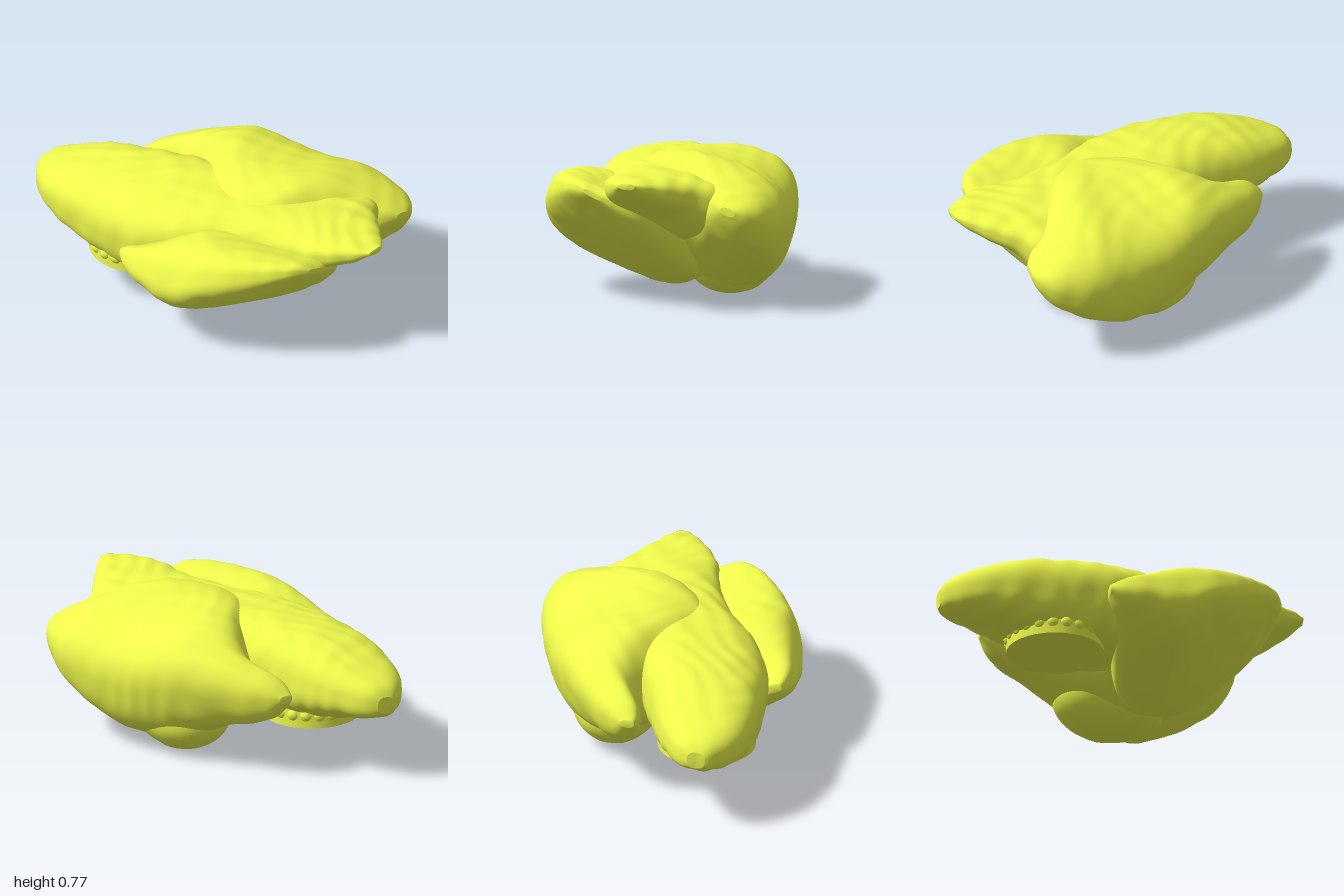
import * as THREE from 'three';

const material = new THREE.MeshStandardMaterial({ color: 0xf0fa4c, side: THREE.DoubleSide });

// Smooth lumpy relief, roughly -1..1
function relief(x, y, z) {
  const broad = Math.sin(9 * x + 3 * Math.sin(5 * z)) * Math.sin(8 * z + 2 * y + 1) * Math.cos(7 * y);
  const fine = Math.sin(33 * x + 2 * Math.sin(9 * z)) * Math.sin(31 * z + 2 * Math.sin(11 * x)) * Math.cos(9 * y);
  return 0.5 * broad + 0.4 * fine;
}

// Push vertices along their normals by the relief
function roughen(geometry, amount) {
  geometry.computeVertexNormals();
  const p = geometry.attributes.position, n = geometry.attributes.normal;
  for (let i = 0; i < p.count; i++) {
    const d = amount * relief(p.getX(i), p.getY(i), p.getZ(i));
    p.setXYZ(i, p.getX(i) + d * n.getX(i), p.getY(i) + d * n.getY(i), p.getZ(i) + d * n.getZ(i));
  }
  geometry.computeVertexNormals();
  return geometry;
}

function catmull(a, b, c, d, t) {
  return 0.5 * (2 * b + (c - a) * t + (2 * a - 5 * b + 4 * c - d) * t * t + (3 * b - a - 3 * c + d) * t * t * t);
}

// Lobe lofted along z. Station: [z, leftX, leftY, rightX, rightY, bulgeUp, bulgeDown]
function lobe(name, stations, power, bump) {
  const sides = 96, steps = 12, last = stations.length - 1;
  const positions = [], indices = [];
  const rows = [];
  for (let i = 0; i < last; i++) {
    const s = k => stations[Math.min(last, Math.max(0, k))];
    for (let j = 0; j < steps + (i === last - 1 ? 1 : 0); j++) {
      rows.push(s(i).map((_, k) => catmull(s(i - 1)[k], s(i)[k], s(i + 1)[k], s(i + 2)[k], j / steps)));
    }
  }
  // Collapsed rings close the two ends
  const close = ([z, lx, ly, rx, ry]) => [z, (lx + rx) / 2, (ly + ry) / 2, (lx + rx) / 2 + 1e-4, (ly + ry) / 2, 0, 0];
  rows.unshift(close(rows[0]));
  rows.push(close(rows[rows.length - 1]));

  const shape = v => Math.sign(v) * Math.pow(Math.abs(v), power);
  rows.forEach(([z, lx, ly, rx, ry, up, down], i) => {
    const dx = (rx - lx) / 2, dy = (ry - ly) / 2, len = Math.hypot(dx, dy);
    for (let j = 0; j < sides; j++) {
      const a = (j / sides) * Math.PI * 2;
      const c = shape(Math.cos(a)), s = shape(Math.sin(a));
      const h = s * Math.max(s > 0 ? up : down, 0) / len;
      positions.push((lx + rx) / 2 + c * dx - h * dy, (ly + ry) / 2 + c * dy + h * dx, z);
      if (i === 0) continue;
      const k = (j + 1) % sides, p = (i - 1) * sides, q = i * sides;
      indices.push(p + j, p + k, q + j, p + k, q + k, q + j);
    }
  });
  const geometry = new THREE.BufferGeometry();
  geometry.setAttribute('position', new THREE.Float32BufferAttribute(positions, 3));
  geometry.setIndex(indices);
  const mesh = new THREE.Mesh(roughen(geometry, bump), material);
  mesh.name = name;
  return mesh;
}

export function createModel() {
  const model = new THREE.Group();
  model.name = 'lobedBud';

  // Long central body: broad rear lobe running to a pointed front tongue
  model.add(lobe('centralLobe', [
    [-1.0, -0.36, 0.42, -0.27, 0.43, 0.04, 0.05],
    [-0.95, -0.43, 0.42, -0.2, 0.44, 0.09, 0.09],
    [-0.8, -0.53, 0.42, -0.1, 0.46, 0.14, 0.14],
    [-0.6, -0.57, 0.41, -0.03, 0.47, 0.21, 0.19],
    [-0.3, -0.575, 0.4, 0.08, 0.48, 0.25, 0.23],
    [0.0, -0.51, 0.45, 0.2, 0.48, 0.235, 0.25],
    [0.3, -0.32, 0.52, 0.3, 0.47, 0.2, 0.25],
    [0.6, -0.2, 0.58, 0.43, 0.53, 0.14, 0.17],
    [0.75, -0.17, 0.61, 0.3, 0.59, 0.1, 0.1],
    [0.9, -0.08, 0.65, 0.18, 0.64, 0.05, 0.06],
    [0.99, 0.0, 0.67, 0.09, 0.67, 0.015, 0.015],
  ], 0.75, 0.014));

  // Large lobe folded over the +x side
  model.add(lobe('leftLobe', [
    [-0.69, 0.05, 0.44, 0.12, 0.44, 0.02, 0.02],
    [-0.6, 0.03, 0.45, 0.23, 0.42, 0.1, 0.12],
    [-0.4, 0.08, 0.5, 0.37, 0.4, 0.18, 0.21],
    [-0.2, -0.03, 0.54, 0.49, 0.38, 0.26, 0.31],
    [0.0, -0.2, 0.53, 0.57, 0.35, 0.29, 0.36],
    [0.2, -0.25, 0.53, 0.63, 0.34, 0.3, 0.36],
    [0.4, -0.1, 0.55, 0.67, 0.35, 0.29, 0.26],
    [0.6, 0.24, 0.53, 0.66, 0.41, 0.17, 0.14],
    [0.7, 0.39, 0.54, 0.6, 0.48, 0.07, 0.07],
    [0.74, 0.46, 0.54, 0.54, 0.52, 0.02, 0.02],
  ], 0.8, 0.01));

  // Shell-like lobe wrapping the -x side and passing under the whole body
  model.add(lobe('rightLobe', [
    [-0.17, -0.63, 0.44, -0.57, 0.42, 0.02, 0.02],
    [-0.1, -0.66, 0.46, -0.3, 0.3, 0.06, 0.1],
    [0.0, -0.675, 0.47, 0.0, 0.19, 0.13, 0.16],
    [0.2, -0.67, 0.47, 0.15, 0.18, 0.25, 0.2],
    [0.4, -0.62, 0.54, 0.2, 0.22, 0.19, 0.17],
    [0.6, -0.5, 0.59, 0.12, 0.35, 0.12, 0.12],
    [0.75, -0.37, 0.62, 0.0, 0.49, 0.06, 0.06],
    [0.81, -0.26, 0.61, -0.17, 0.57, 0.015, 0.015],
  ], 0.67, 0.009));

  // Rounded bulge the bud rests on
  const bulgeGeometry = new THREE.SphereGeometry(1, 48, 32).scale(0.23, 0.21, 0.3).translate(0.24, 0.21, 0.03);
  const bulge = new THREE.Mesh(roughen(bulgeGeometry, 0.006), material);
  bulge.name = 'lowerBulge';
  model.add(bulge);

  // Flat cut stem scar under the rear lobe
  const scar = new THREE.Mesh(new THREE.CylinderGeometry(0.25, 0.25, 0.16, 48), material);
  scar.name = 'stemScar';
  scar.position.set(-0.28, 0.28, -0.38);
  model.add(scar);

  // Scalloped rim around the scar
  for (let i = 0; i < 22; i++) {
    const a = (i / 22) * Math.PI * 2;
    const knob = new THREE.Mesh(new THREE.SphereGeometry(0.035, 12, 8), material);
    knob.name = 'scarRim';
    knob.position.set(-0.28 + 0.23 * Math.cos(a), 0.265, -0.38 + 0.23 * Math.sin(a));
    model.add(knob);
  }
  return model;
}
